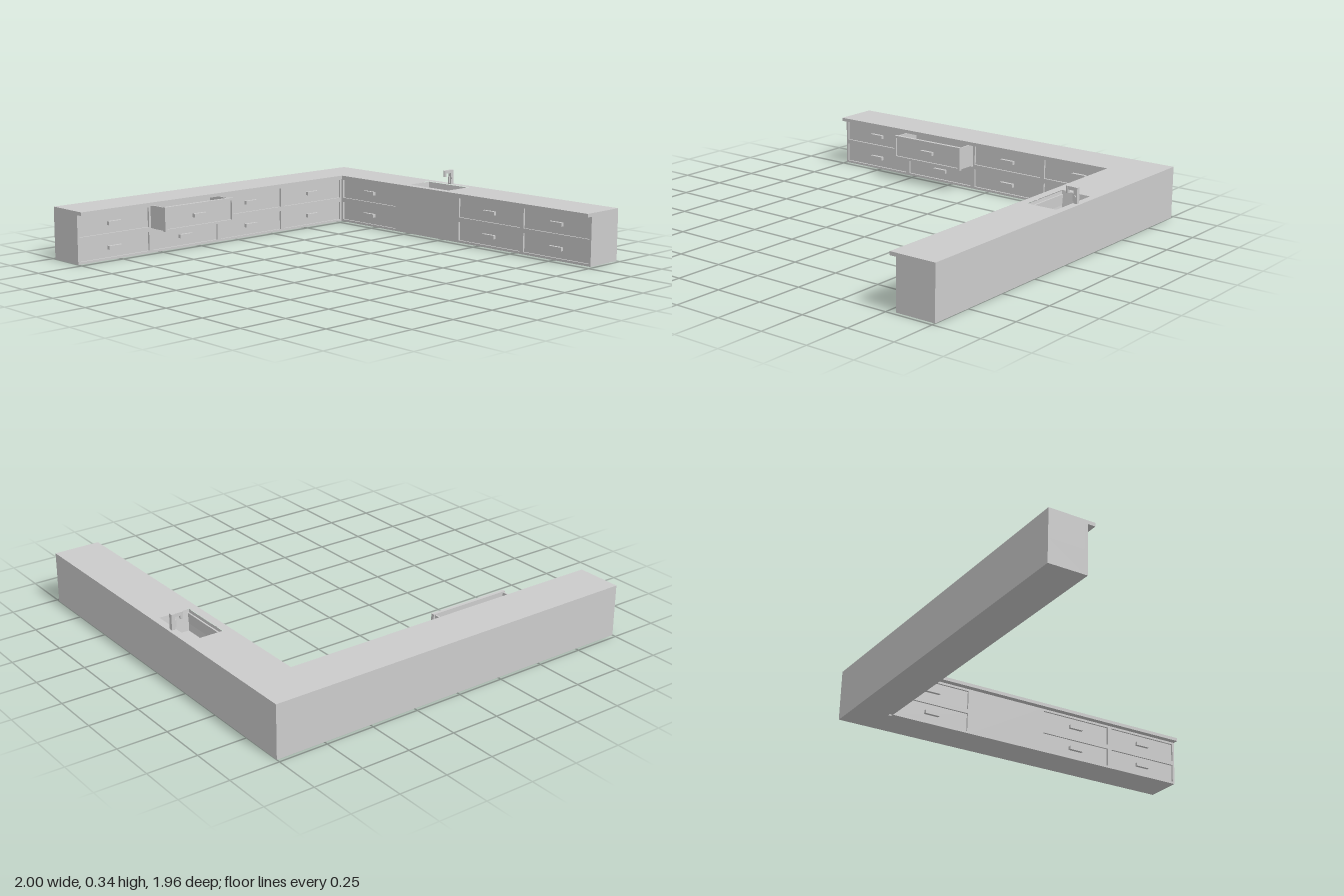
import * as THREE from 'three';

const TOP = 0.267, UNDER = 0.249, MID = 0.123; // counter top, counter underside, drawer row split
const Z = 0.98, FX = 0.79, FZ = -0.78;         // run ends, front planes of both runs
const T = 0.018;                               // drawer front thickness
const COL = (FX + 1) / 4, SIDE = (Z - FZ) / 4; // column widths
const SINK = { x0: 0.8, x1: 0.963, z0: -0.267, z1: 0.027 };

const mat = new THREE.MeshStandardMaterial({ color: 0xcccccc, flatShading: true });
const matDouble = new THREE.MeshStandardMaterial({ color: 0xcccccc, flatShading: true, side: THREE.DoubleSide });

function add(parent, name, geo, x = 0, y = 0, z = 0, material = mat) {
  const m = new THREE.Mesh(geo, material);
  m.name = name;
  m.position.set(x, y, z);
  parent.add(m);
  return m;
}

// Box given by its min and max corners
function box(parent, name, [x0, y0, z0], [x1, y1, z1]) {
  return add(parent, name, new THREE.BoxGeometry(x1 - x0, y1 - y0, z1 - z0),
    (x0 + x1) / 2, (y0 + y1) / 2, (z0 + z1) / 2);
}

const plan = pts => pts.map(([x, z]) => new THREE.Vector2(x, -z));

// Floor-plan outline raised from y0 to y1
function slab(parent, name, outline, hole, y0, y1) {
  const shape = new THREE.Shape(plan(outline));
  if (hole) shape.holes.push(new THREE.Path(plan(hole)));
  const geo = new THREE.ExtrudeGeometry(shape, { depth: y1 - y0, bevelEnabled: false });
  geo.rotateX(-Math.PI / 2);
  return add(parent, name, geo, 0, y0, 0);
}

function rectPath(Type, w, h) {
  const p = new Type();
  p.moveTo(-w / 2, -h / 2);
  p.lineTo(w / 2, -h / 2);
  p.lineTo(w / 2, h / 2);
  p.lineTo(-w / 2, h / 2);
  p.closePath();
  return p;
}

// Framed front with recessed panel and pull; outer face at local z = 0
function drawerFront(w, h) {
  const g = new THREE.Group();
  g.name = 'drawerFront';
  const shape = rectPath(THREE.Shape, w, h);
  shape.holes.push(rectPath(THREE.Path, w - 0.024, h - 0.024));
  add(g, 'drawerFrame', new THREE.ExtrudeGeometry(shape, { depth: T, bevelEnabled: false }), 0, 0, -T);
  add(g, 'drawerPanel', new THREE.BoxGeometry(w - 0.024, h - 0.024, 0.008), 0, 0, -T + 0.004);
  add(g, 'drawerHandle', new THREE.BoxGeometry(0.08, 0.019, 0.018), 0, 0, -0.002);
  return g;
}

// Tapered open basin made from a top and a bottom ring
function basinGeometry(yTop, yBottom, inset) {
  const ring = (d, y) => [[SINK.x0 + d, y, SINK.z0 + d], [SINK.x1 - d, y, SINK.z0 + d],
    [SINK.x1 - d, y, SINK.z1 - d], [SINK.x0 + d, y, SINK.z1 - d]];
  const geo = new THREE.BufferGeometry();
  const pts = [...ring(0, yTop), ...ring(inset, yBottom)];
  geo.setAttribute('position', new THREE.Float32BufferAttribute(pts.flat(), 3));
  const index = [4, 6, 5, 4, 7, 6];
  for (let i = 0; i < 4; i++) {
    const j = (i + 1) % 4;
    index.push(i, i + 4, j, j, i + 4, j + 4);
  }
  geo.setIndex(index);
  const flat = geo.toNonIndexed();
  flat.computeVertexNormals();
  return flat;
}

export function createModel() {
  const model = new THREE.Group();
  model.name = 'cornerCounter';
  const bx = FX + T, bz = FZ - T;        // carcass faces behind the fronts
  const ox0 = -1 + COL, ox1 = ox0 + COL; // open drawer bay
  const sinkHole = [[SINK.x0, SINK.z0], [SINK.x1, SINK.z0], [SINK.x1, SINK.z1], [SINK.x0, SINK.z1]];

  // Carcass: solid lower layer, upper layer with drawer bay and sink well
  slab(model, 'lowerCarcass', [[-1, -Z], [1, -Z], [1, Z], [bx, Z], [bx, bz], [-1, bz]], null, 0, MID);
  slab(model, 'upperCarcass', [[-1, -Z], [1, -Z], [1, Z], [bx, Z], [bx, bz], [ox1 - 0.006, bz],
    [ox1 - 0.006, -0.965], [ox0 + 0.006, -0.965], [ox0 + 0.006, bz], [-1, bz]],
    [[bx + 0.002, SINK.z0 - 0.01], [0.975, SINK.z0 - 0.01], [0.975, SINK.z1 + 0.01], [bx + 0.002, SINK.z1 + 0.01]],
    MID, UNDER);

  // Countertop overhanging the inner faces
  slab(model, 'countertop', [[-1, -Z], [1, -Z], [1, Z], [0.757, Z], [0.757, -0.743], [-1, -0.743]],
    sinkHole, UNDER, TOP);

  // Drawer fronts: two rows, four columns on each run
  const rows = [[0, MID], [MID, UNDER]];
  rows.forEach(([y0, y1], r) => {
    for (let c = 0; c < 4; c++) {
      const open = r === 1 && c === 1;
      const back = drawerFront(COL, y1 - y0);
      back.position.set(-1 + COL * (c + 0.5), (y0 + y1) / 2, open ? -0.66 : FZ);
      model.add(back);
      if (c === 1) continue; // plain panel below the sink
      const side = drawerFront(SIDE, y1 - y0);
      side.rotation.y = -Math.PI / 2;
      side.position.set(FX, (y0 + y1) / 2, FZ + SIDE * (c + 0.5));
      model.add(side);
    }
  });
  box(model, 'sinkPanel', [FX, 0, FZ + SIDE], [bx, UNDER, FZ + 2 * SIDE]);

  // Tray of the pulled-out drawer
  const tray = new THREE.Group();
  tray.name = 'openDrawerTray';
  model.add(tray);
  const x0 = ox0 + 0.007, x1 = ox1 - 0.007, zf = -0.66 - T, zb = -0.845, y0 = MID + 0.003, y1 = UNDER - 0.004;
  box(tray, 'trayFloor', [x0, y0, zb], [x1, y0 + 0.008, zf]);
  box(tray, 'trayBack', [x0, y0, zb], [x1, y1, zb + 0.008]);
  box(tray, 'traySide', [x0, y0, zb], [x0 + 0.008, y1, zf]);
  box(tray, 'traySide', [x1 - 0.008, y0, zb], [x1, y1, zf]);

  // Sink basin
  add(model, 'sinkBasin', basinGeometry(TOP - 0.003, 0.16, 0.012), 0, 0, 0, matDouble);

  // Tap: post, spout, nozzle and lever
  const tap = new THREE.Group();
  tap.name = 'tap';
  tap.position.z = -0.118;
  model.add(tap);
  box(tap, 'tapPost', [0.967, TOP, -0.01], [0.986, 0.345, 0.01]);
  box(tap, 'tapSpout', [0.925, 0.328, -0.008], [0.967, 0.345, 0.008]);
  add(tap, 'tapNozzle', new THREE.CylinderGeometry(0.009, 0.009, 0.035, 12), 0.929, 0.3275, 0);
  box(tap, 'tapLever', [0.958, 0.275, -0.004], [0.967, 0.31, 0.004]);
  add(tap, 'tapKnob', new THREE.CylinderGeometry(0.006, 0.006, 0.008, 10).rotateX(Math.PI / 2), 0.974, 0.302, 0.012);

  return model;
}
